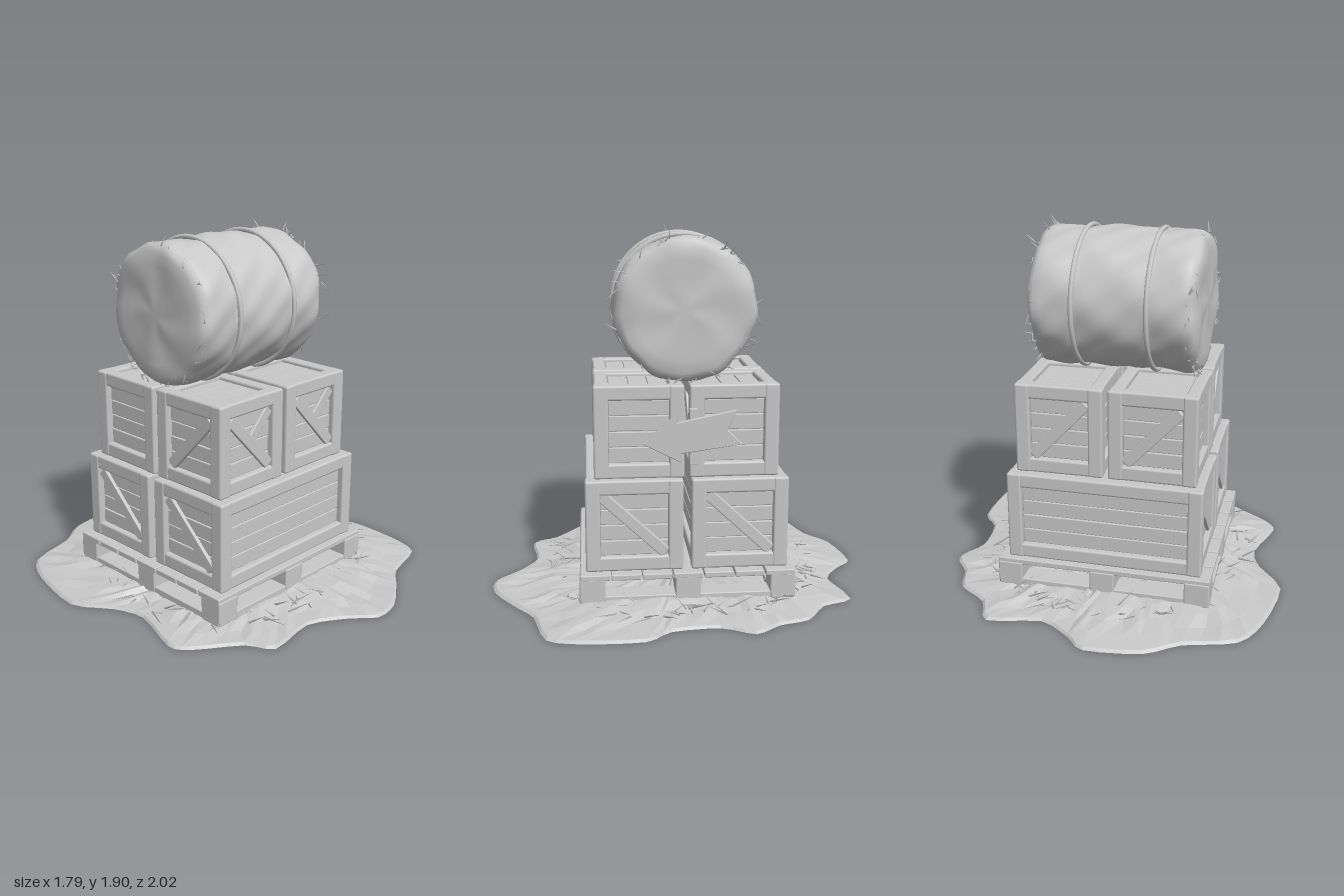
import * as THREE from 'three';
import { mergeGeometries, mergeVertices } from 'three/addons/utils/BufferGeometryUtils.js';
import { RoundedBoxGeometry } from 'three/addons/geometries/RoundedBoxGeometry.js';

const clay = new THREE.MeshStandardMaterial({ color: 0xc8c8c8 });
clay.name = 'light grey';

// Small seeded random generator
let seed = 7;
const rand = (a = 0, b = 1) => {
  seed = (seed * 16807) % 2147483647;
  return a + (b - a) * seed / 2147483647;
};

function add(parent, name, geometry, x = 0, y = 0, z = 0) {
  const m = new THREE.Mesh(geometry, clay);
  m.name = name;
  m.position.set(x, y, z);
  parent.add(m);
  return m;
}
function addGroup(parent, name, x = 0, y = 0, z = 0, ry = 0) {
  const g = new THREE.Group();
  g.name = name;
  g.position.set(x, y, z);
  g.rotation.y = ry;
  parent.add(g);
  return g;
}
const bar = (w, h, d, r = 0.012) => new RoundedBoxGeometry(w, h, d, 2, r);

// Horizontal planks and optional braces on one face of a crate (face looks along +z)
function crateFace(parent, name, w, h, out, ry, brace, y = 0) {
  const face = addGroup(parent, name, 0, y, 0, ry);
  const rows = 4, ph = h / rows;
  for (let i = 0; i < rows; i++) {
    add(face, 'plank', bar(w, ph - 0.004, 0.016, 0.004), 0, -h / 2 + ph * (i + 0.5), out - 0.04 + rand(-0.003, 0.003));
  }
  const len = Math.hypot(w, h) * 0.93, a = Math.atan2(h, w);
  if (brace.includes('d')) add(face, 'brace', bar(len, 0.06, 0.022, 0.006), 0, 0, out - 0.024).rotation.z = -a;
  if (brace.includes('u')) add(face, 'brace', bar(len, 0.06, 0.022, 0.006), 0, 0, out - 0.024).rotation.z = a;
  if (brace.includes('h')) add(face, 'halfBrace', bar(len * 0.48, 0.055, 0.02, 0.006), w * 0.23, h * 0.23, out - 0.026).rotation.z = a;
}

// Crate with twelve frame bars, recessed planked faces and braces [front, right, back, left]
function crate(parent, name, w, h, d, x, y, z, braces, ry = 0) {
  const c = addGroup(parent, name, x, y + h / 2, z, ry);
  const t = 0.076;
  add(c, 'core', new THREE.BoxGeometry(w - 0.09, h - 0.06, d - 0.09));
  for (const s of [-1, 1]) {
    for (const q of [-1, 1]) {
      add(c, 'post', bar(t, h, t), s * (w - t) / 2, 0, q * (d - t) / 2);
      add(c, 'longRail', bar(w - 0.01, t, t - 0.008), 0, s * (h - t) / 2, q * (d - t) / 2);
      add(c, 'sideRail', bar(t - 0.008, t, d - 0.01), q * (w - t) / 2, s * (h - t) / 2, 0);
    }
  }
  const iw = w - 2 * t, ih = h - 2 * t, id = d - 2 * t;
  crateFace(c, 'frontPanel', iw, ih, d / 2, 0, braces[0]);
  crateFace(c, 'rightPanel', id, ih, w / 2, Math.PI / 2, braces[1]);
  crateFace(c, 'backPanel', iw, ih, d / 2, Math.PI, braces[2]);
  crateFace(c, 'leftPanel', id, ih, w / 2, -Math.PI / 2, braces[3]);
  for (let i = 0; i < 3; i++) {
    add(c, 'lidPlank', bar(iw, 0.014, id / 3 - 0.005, 0.004), 0, h / 2 - 0.024, (i - 1) * id / 3);
  }
}

// Irregular low mound: a grid wrapped from the underside centre, over the rim, to the top centre
function moundGeometry() {
  const outline = [[-0.21, -1], [0.08, -1], [0.17, -0.9], [0.32, -0.78], [0.6, -0.8], [0.66, -0.63], [0.8, -0.5],
    [0.83, -0.34], [0.9, -0.2], [0.8, -0.05], [0.79, 0.19], [0.87, 0.33], [0.83, 0.62], [0.75, 0.79], [0.48, 0.83],
    [0.35, 0.9], [0.14, 1], [-0.02, 1], [-0.13, 0.88], [-0.31, 0.75], [-0.58, 0.75], [-0.65, 0.61], [-0.84, 0.43],
    [-0.88, 0.32], [-0.76, 0.05], [-0.79, -0.13], [-0.89, -0.34], [-0.79, -0.68], [-0.66, -0.86], [-0.39, -0.91]];
  const curve = new THREE.CatmullRomCurve3(outline.map(([x, z]) => new THREE.Vector3(x, 0, z)), true, 'catmullrom', 0.4);
  const rings = [[0, 0], [1, 0], [0.985, 0.012], [0.88, 0.02], [0.78, 0.035], [0.68, 0.048], [0.58, 0.056], [0.45, 0.058], [0, 0.058]];
  const n = 90;
  const bumps = Array.from({ length: n * rings.length }, () => rand(-1, 1));
  const g = new THREE.PlaneGeometry(1, 1, n, rings.length - 1);
  const p = g.attributes.position;
  for (let j = 0; j < rings.length; j++) {
    const [f, h] = rings[j];
    for (let i = 0; i <= n; i++) {
      const o = curve.getPoint((i % n) / n);
      const b = j > 2 && j < 8 ? bumps[j * n + (i % n)] : 0;
      p.setXYZ(j * (n + 1) + i, o.x * (f + b * 0.012), h + b * 0.01, o.z * (f + b * 0.012));
    }
  }
  const flat = g.toNonIndexed();
  flat.computeVertexNormals();
  return flat;
}

// One straw blade at a point, pointing along a direction
function blade(pos, dir, len, r = 0.007) {
  const g = new THREE.ConeGeometry(r, len, 3);
  g.translate(0, len / 2, 0);
  g.applyQuaternion(new THREE.Quaternion().setFromUnitVectors(new THREE.Vector3(0, 1, 0), dir.normalize()));
  return g.translate(pos.x, pos.y, pos.z);
}

// Round bale lying along x, with a lumpy skin and coiled ends
function baleGeometry(R, L) {
  const half = [[0, 0], [0.25, 0.004], [0.5, -0.003], [0.7, 0.004], [0.87, -0.004], [0.95, -0.018], [0.99, -0.045]];
  const pts = half.map(([r, d]) => new THREE.Vector2(r * R, -L / 2 - d));
  for (let i = 1; i < 20; i++) pts.push(new THREE.Vector2(R, -L / 2 + 0.045 + (L - 0.09) * i / 20));
  pts.push(...half.slice().reverse().map(([r, d]) => new THREE.Vector2(r * R, L / 2 + d)));
  let g = new THREE.LatheGeometry(pts, 72);
  const p = g.attributes.position;
  for (let i = 0; i < p.count; i++) {
    const x = p.getX(i), y = p.getY(i), z = p.getZ(i), a = Math.atan2(x, z), r = Math.hypot(x, z) / R;
    const pinch = [-0.19, 0.19].reduce((s, c) => s + Math.exp(-(((y - c) / 0.05) ** 2)), 0);
    const k = 0.008 * Math.sin(3 * a + 9 * y) + 0.007 * Math.sin(7 * a - 17 * y) + 0.006 * Math.sin(13 * a + 31 * y) - 0.01 * pinch;
    const s = 1 + k * r * 1.5;
    p.setXYZ(i, x * s, y + r * 0.007 * Math.sin(5 * a + 4 * r), z * s);
  }
  g.deleteAttribute('normal');
  g.deleteAttribute('uv');
  g = mergeVertices(g, 1e-5);
  g.computeVertexNormals();
  return g.rotateZ(-Math.PI / 2);
}

export function createModel() {
  const model = new THREE.Group();
  model.name = 'crateStackWithBale';

  // Straw-covered ground
  add(model, 'strawMound', moundGeometry());
  const blades = [];
  for (let i = 0; i < 170; i++) {
    const a = rand(0, Math.PI * 2), r = rand(0.58, 0.76);
    const d = new THREE.Vector3(rand(-1, 1), rand(0.02, 0.25), rand(-1, 1));
    blades.push(blade(new THREE.Vector3(r * Math.cos(a), 0.035, r * Math.sin(a)), d, rand(0.06, 0.15)));
  }
  add(model, 'looseStraw', mergeGeometries(blades));

  const stack = addGroup(model, 'stack', -0.025, 0, -0.02, -0.124);

  // Pallet
  const pallet = addGroup(stack, 'pallet');
  const W = 1.12, D = 1.1;
  for (let i = 0; i < 7; i++) add(pallet, 'deckBoard', bar(W, 0.03, D / 7 - 0.008, 0.006), 0, 0.173, (i - 3) * D / 7);
  for (const i of [-1, 0, 1]) {
    const x = i * (W - 0.13) / 2, z = i * (D - 0.13) / 2;
    add(pallet, 'runner', bar(W, 0.04, 0.12, 0.006), 0, 0.056, z);
    add(pallet, 'crossRunner', bar(0.12, 0.036, D, 0.006), x, 0.056, 0);
    for (const j of [-1, 0, 1]) add(pallet, 'block', bar(0.13, 0.115, 0.13, 0.008), x, 0.11, j * (D - 0.13) / 2);
  }

  // Two long crates below, four cube crates above
  for (const s of [1, -1]) crate(stack, 'longCrate', 1.02, 0.475, 0.495, 0, 0.187, s * 0.268, ['', 'd', '', 'd']);
  crate(stack, 'smallCrate', 0.455, 0.475, 0.455, -0.243, 0.66, 0.238, ['dh', '', 'u', 'u'], 0.01);
  crate(stack, 'smallCrate', 0.455, 0.475, 0.455, 0.243, 0.66, 0.238, ['dh', '', 'u', ''], -0.01);
  crate(stack, 'smallCrate', 0.455, 0.475, 0.455, -0.243, 0.66, -0.238, ['dh', '', 'u', ''], -0.01);
  crate(stack, 'smallCrate', 0.455, 0.475, 0.455, 0.243, 0.66, -0.238, ['dh', '', 'u', ''], 0.01);

  // Arrow sign on its short post, on the right face
  const sign = addGroup(stack, 'arrowSign', 0.472, 0, 0, Math.PI / 2);
  add(sign, 'signPost', bar(0.04, 0.29, 0.025, 0.005), 0.03, 0.875, 0.008);
  const arrow = new THREE.Shape([[-0.22, 0.85], [-0.05, 1.0], [-0.06, 0.95], [0.24, 1.01], [0.195, 0.91], [0.27, 0.84],
    [-0.035, 0.8], [-0.035, 0.755]].map(([x, y]) => new THREE.Vector2(x, y)));
  add(sign, 'arrowBoard', new THREE.ExtrudeGeometry(arrow, { depth: 0.018, bevelSize: 0.004, bevelThickness: 0.004, bevelSegments: 1 }), 0, 0, 0.022);

  // Round bale with two straps and stray straw
  const R = 0.362, L = 0.86;
  const bale = addGroup(model, 'bale', -0.03, 1.498, -0.03, -0.155);
  add(bale, 'baleBody', baleGeometry(R, L));
  for (const s of [-1, 1]) {
    add(bale, 'strap', new THREE.TorusGeometry(R + 0.002, 0.013, 8, 64).rotateY(Math.PI / 2), s * 0.19);
  }
  const tufts = [];
  for (let i = 0; i < 90; i++) {
    const a = rand(0, Math.PI * 2), s = i % 2 ? 1 : -1, c = Math.cos(a), n = Math.sin(a), t = rand(-1.5, 1.5);
    const r = R * rand(0.9, 0.99);
    tufts.push(blade(new THREE.Vector3(s * (L / 2 - rand(0, 0.05)), r * c, r * n),
      new THREE.Vector3(s * rand(-0.3, 0.6), c * 0.6 - n * t, n * 0.6 + c * t), rand(0.03, 0.075), 0.006));
  }
  add(bale, 'strayStraw', mergeGeometries(tufts));
  return model;
}
